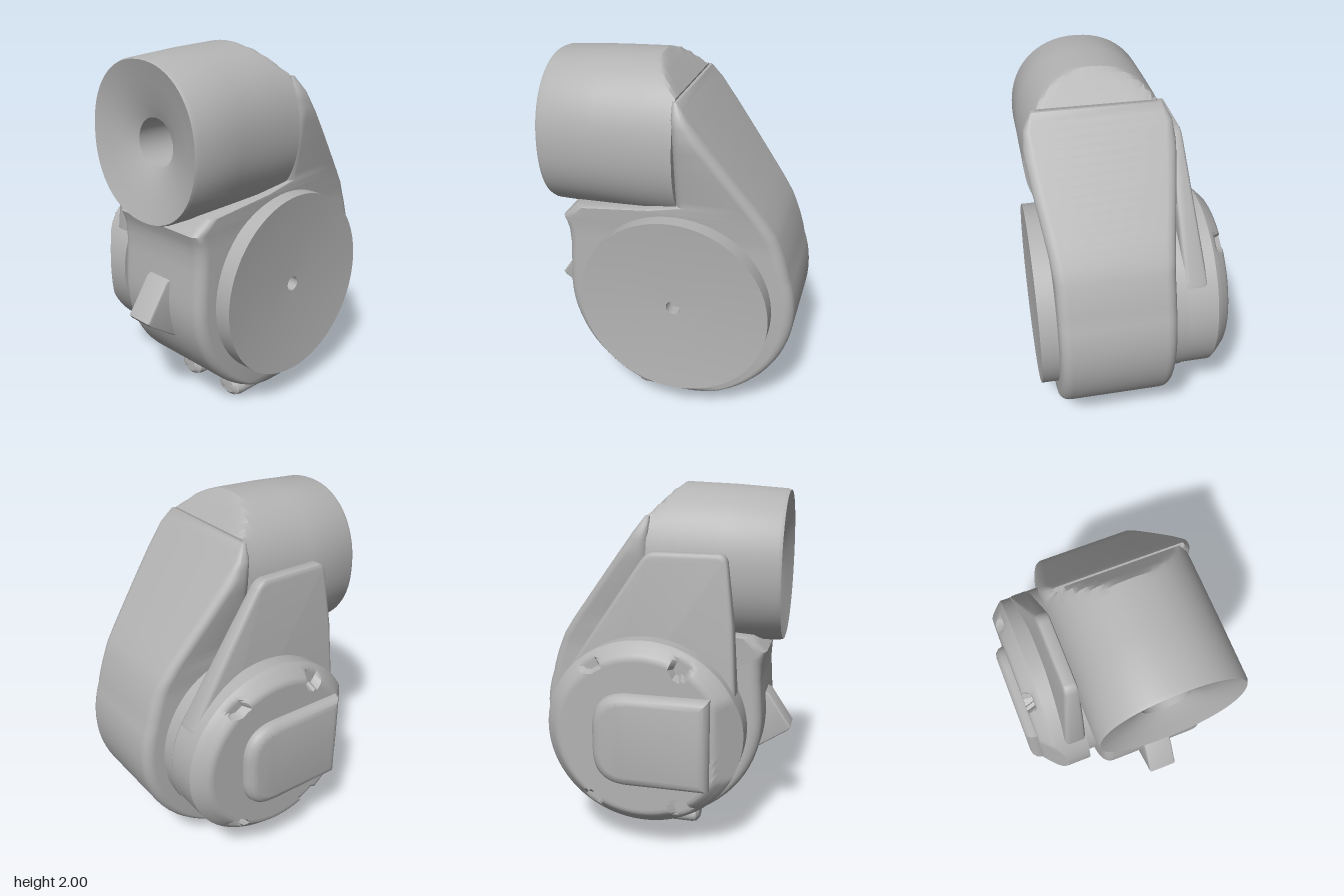
import * as THREE from 'three';
import { toCreasedNormals } from 'three/addons/utils/BufferGeometryUtils.js';

const CX = 0.145, CY = 0.7, CZ = -0.07; // shared centre of housing and drum
const AROUND = 64;

// Surface through equal-length rings, closed at both ends
function loft(rings) {
  const n = rings[0].length, pos = [], idx = [];
  rings.forEach(r => r.forEach(p => pos.push(...p)));
  for (let i = 0; i < rings.length - 1; i++) {
    for (let j = 0; j < n; j++) {
      const a = i * n + j, b = i * n + (j + 1) % n;
      idx.push(a, b, b + n, a, b + n, a + n);
    }
  }
  const cap = (ring, start, flip) => {
    const c = pos.length / 3;
    pos.push(...[0, 1, 2].map(k => ring.reduce((s, p) => s + p[k], 0) / n));
    for (let j = 0; j < n; j++) {
      const a = start + j, b = start + (j + 1) % n;
      idx.push(...(flip ? [c, b, a] : [c, a, b]));
    }
  };
  cap(rings[0], 0, true);
  cap(rings[rings.length - 1], (rings.length - 1) * n, false);
  const g = new THREE.BufferGeometry();
  g.setAttribute('position', new THREE.Float32BufferAttribute(pos, 3));
  g.setIndex(idx);
  return g;
}

// Piecewise linear lookup in [key, value] pairs
function lookup(table, t) {
  for (let i = 1; i < table.length; i++) {
    const [a, va] = table[i - 1], [b, vb] = table[i];
    if (t <= b) return va + (vb - va) * Math.max(0, (t - a) / (b - a));
  }
  return table[table.length - 1][1];
}

function moveVertices(g, rule) {
  const p = g.attributes.position, v = new THREE.Vector3();
  for (let i = 0; i < p.count; i++) {
    v.fromBufferAttribute(p, i);
    rule(v);
    p.setXYZ(i, v.x, v.y, v.z);
  }
  return g;
}

// Side profile in (z, y), extruded towards -x from the given x
function sideExtrude(shape, x, depth, bevel) {
  const g = new THREE.ExtrudeGeometry(shape, {
    depth: depth - 2 * bevel, bevelEnabled: bevel > 0, bevelSize: bevel,
    bevelThickness: bevel, bevelOffset: -bevel, bevelSegments: 3, curveSegments: 24
  });
  return g.translate(0, 0, bevel).rotateY(-Math.PI / 2).translate(x, 0, 0);
}

const profile = pts => pts.map(p => new THREE.Vector2(...p));

export function createModel() {
  const group = new THREE.Group();
  const grey = new THREE.MeshStandardMaterial({ color: 0xb3b3b3 });
  grey.name = 'grey';
  const add = (name, g, crease = 0.6) => {
    const mesh = new THREE.Mesh(toCreasedNormals(g, crease), grey);
    mesh.name = name;
    group.add(mesh);
  };

  // Scroll housing with the sloping neck behind the barrel
  const R = 0.635;
  const back = [[0.95, -0.66], [1.05, -0.63], [1.15, -0.59], [1.25, -0.525], [1.84, -0.085]];
  const front = [[0.8, 0.56], [0.95, 0.55], [1.05, 0.555], [1.12, 0.58], [1.2, 0.5], [1.26, -0.06], [1.84, -0.06]];
  const half = [[0.06, 0.27], [0.08, 0.295], [0.12, 0.315], [1.1, 0.315], [1.25, 0.332],
    [1.5, 0.375], [1.66, 0.398], [1.76, 0.385], [1.84, 0.34]];
  const heights = [];
  for (let i = 1; i <= 20; i++) heights.push(CY - R * Math.cos(i / 20 * 1.73));
  for (let i = 1; i <= 26; i++) heights.push(0.8 + i * 0.04);
  const housing = heights.map(y => {
    const c = Math.sqrt(Math.max(0, R * R - (y - CY) ** 2));
    const z0 = y < 0.95 ? CZ - c : lookup(back, y);
    const z1 = y < 0.8 ? CZ + c : lookup(front, y);
    const w = lookup(half, y), d = (z1 - z0) / 2, r = Math.min(0.06, d * 0.8), ring = [];
    for (let q = 0; q < 4; q++) {
      const sx = q === 0 || q === 3 ? 1 : -1, sz = q < 2 ? -1 : 1;
      for (let k = 0; k <= 6; k++) {
        const a = (q + k / 6) * Math.PI / 2;
        ring.push([CX + sx * (w - r) + r * Math.cos(a), y,
          (z0 + z1) / 2 + sz * (d - r) - r * Math.sin(a)]);
      }
    }
    return ring;
  });
  add('housing', loft(housing), 0.8);

  // Barrel: dished front, centre bore, rear cut by the neck slope
  const barrelRing = (z, rx, ry, cy = 1.56) => Array.from({ length: AROUND }, (_, j) => {
    const a = j / AROUND * Math.PI * 2, c = Math.cos(a), s = Math.sin(a);
    const e = rx > 0.2 ? 0.92 : 1;
    const x = CX + rx * Math.sign(c) * Math.abs(c) ** e;
    const y = cy + ry * Math.sign(s) * Math.abs(s) ** e;
    return [x, Math.min(y, 1.85 + (z - CZ) * 1.1), z];
  });
  const barrel = [-0.07, -0.03, 0.01, 0.04, 0.07, 0.1].map(z => barrelRing(z, 0.395, 0.44));
  barrel.push(barrelRing(0.35, 0.395, 0.43), barrelRing(0.63, 0.395, 0.417, 1.553), barrelRing(0.65, 0.385, 0.41, 1.553),
    barrelRing(0.62, 0.3, 0.31, 1.55), barrelRing(0.59, 0.2, 0.2, 1.545),
    barrelRing(0.56, 0.13, 0.13, 1.54), barrelRing(0, 0.13, 0.13, 1.54));
  add('barrel', loft(barrel));

  // Drum passing through the housing, with a shallow dished end
  const drum = new THREE.LatheGeometry(profile([[0, -0.25], [0.52, -0.25], [0.52, 0.555], [0.3, 0.535],
    [0.04, 0.53], [0.04, 0.46], [0, 0.46]]), AROUND);
  add('drum', drum.rotateZ(-Math.PI / 2).translate(0, CY, CZ));

  // Round cover with a slanted front and four bolt pockets
  const coverPts = [[0, 0.24], [0.52, 0.24], [0.52, 0.42], [0.505, 0.44]];
  for (let r = 0.49; r > 0.01; r -= 0.0175) coverPts.push([r, Math.min(0.5, 0.945 - r)]);
  coverPts.push([0, 0.5]);
  const cover = new THREE.LatheGeometry(profile(coverPts), 120);
  cover.rotateZ(Math.PI / 2).scale(1, 1, 1.045).translate(0, CY, -0.045);
  const slant = v => { v.x = Math.max(v.x, Math.min(-0.24, -0.56 + 0.95 * (v.z - 0.3))); };
  moveVertices(cover, v => {
    slant(v);
    const dz = Math.abs(v.z + 0.07) - 0.25, dy = Math.abs(v.y - CY) - 0.4;
    if (Math.hypot(dz, dy) < 0.055) v.x = Math.max(v.x, -0.45);
  });
  add('cover', cover);

  // Raised boss on the cover
  const boss = new THREE.Shape();
  boss.moveTo(0.34, 0.43).lineTo(0.34, 0.95).lineTo(-0.1, 0.95);
  boss.quadraticCurveTo(-0.3, 0.95, -0.3, 0.75).lineTo(-0.3, 0.63);
  boss.quadraticCurveTo(-0.3, 0.43, -0.1, 0.43).lineTo(0.34, 0.43);
  add('coverBoss', sideExtrude(boss, -0.44, 0.12, 0.055));

  // Side plate rising from the cover, thinner towards its top
  const plate = new THREE.Shape();
  plate.moveTo(0.45, 0.85).lineTo(0.42, 1.3).lineTo(0.38, 1.62).quadraticCurveTo(0.37, 1.665, 0.33, 1.665);
  plate.lineTo(0, 1.665).quadraticCurveTo(-0.05, 1.665, -0.08, 1.62);
  plate.lineTo(-0.52, 0.97).lineTo(-0.56, 0.7).lineTo(-0.45, 0.4).lineTo(0.38, 0.4);
  add('sidePlate', moveVertices(sideExtrude(plate, -0.24, 0.13, 0.025), v => {
    const t = THREE.MathUtils.clamp((v.y - 0.95) / 0.7, 0, 1);
    v.x = -0.24 + (v.x + 0.24) * (1 - 0.42 * t);
  }));

  // Wedge lug on the front
  const lug = new THREE.Shape(profile([[0.5, 0.47], [0.54, 0.49], [0.695, 0.595], [0.71, 0.615], [0.58, 0.81], [0.5, 0.85]]));
  add('frontLug', sideExtrude(lug, 0.225, 0.16, 0.008));

  // Rounded feet
  for (const x of [-0.02, 0.3]) {
    const foot = [[-0.18, 0.6], [-0.165, 0.9], [-0.14, 1], [0.16, 1], [0.185, 0.9], [0.2, 0.6]].map(([z, s]) =>
      Array.from({ length: 24 }, (_, j) => {
        const a = j / 24 * Math.PI * 2;
        return [x + 0.085 * s * Math.cos(a), 0.065 + 0.06 * s * Math.sin(a) - 0.005, z];
      }));
    add('foot', loft(foot));
  }
  return group;
}
